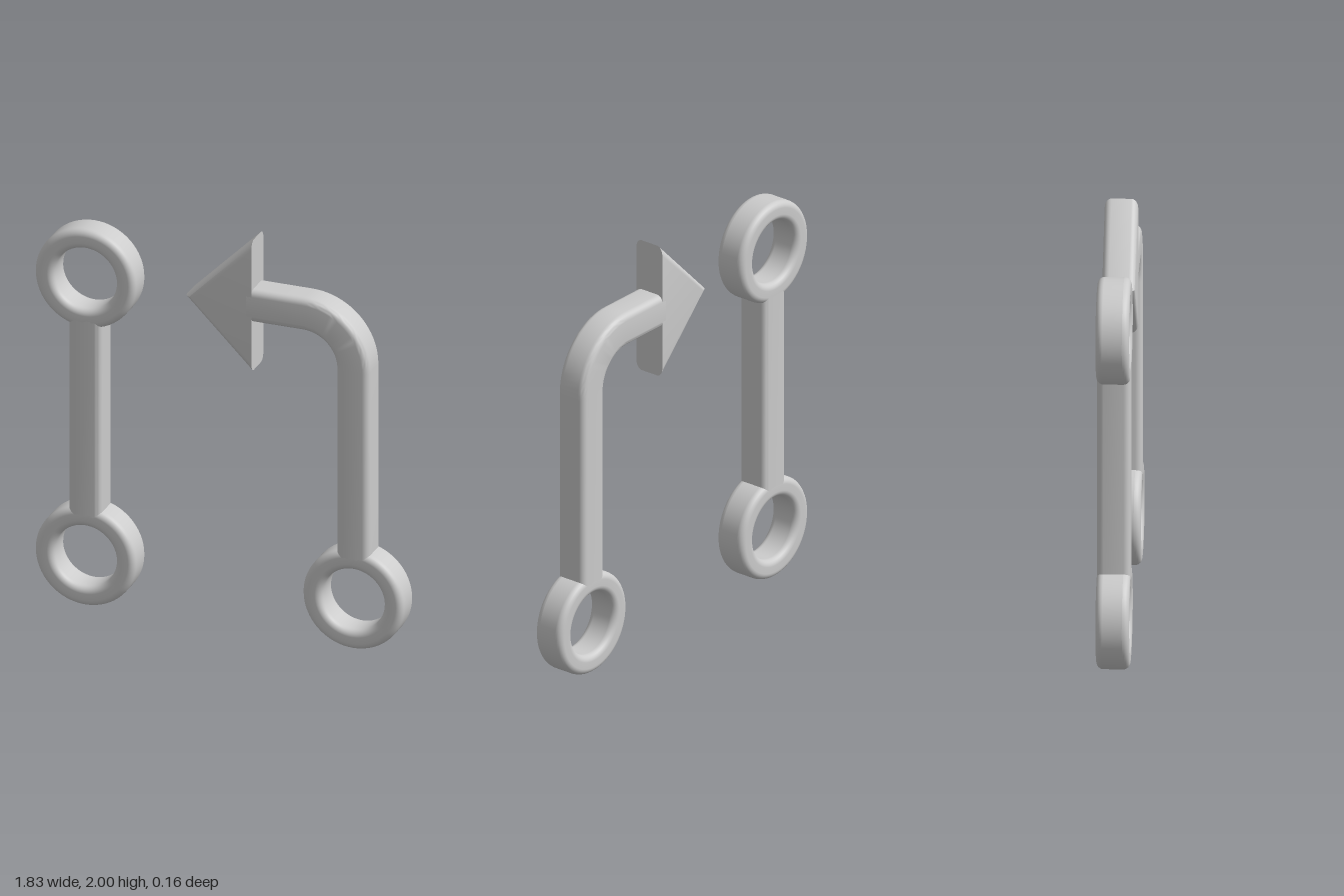
import * as THREE from 'three';
import { toCreasedNormals } from 'three/addons/utils/BufferGeometryUtils.js';

const HALF_DEPTH = 0.078, HALF_BAR = 0.082, ROUND = 0.032, STEPS = 6;
const POST_X = 0.666, LOW_Y = 0.25, HIGH_Y = 1.667, BEND = 0.25;
const material = new THREE.MeshStandardMaterial({ color: 0xcccccc });

// Rounded rectangle outline, counter-clockwise, centred on (cx, 0)
function roundedRect(cx, halfW, halfH, r) {
  const points = [];
  [[1, 1], [-1, 1], [-1, -1], [1, -1]].forEach(([sx, sy], corner) => {
    for (let i = 0; i <= STEPS; i++) {
      const a = (corner + i / STEPS) * Math.PI / 2;
      points.push(new THREE.Vector2(
        cx + sx * (halfW - r) + r * Math.cos(a),
        sy * (halfH - r) + r * Math.sin(a)));
    }
  });
  return points;
}

// Skin a list of equal-sized sections and cap both ends
function loft(sections) {
  const n = sections[0].length, last = sections.length - 1;
  const index = [];
  for (let i = 0; i < last; i++) {
    for (let j = 0; j < n; j++) {
      const a = i * n + j, b = i * n + (j + 1) % n;
      index.push(a, b, b + n, a, b + n, a + n);
    }
  }
  for (let j = 1; j < n - 1; j++) {
    index.push(0, j + 1, j, last * n, last * n + j, last * n + j + 1);
  }
  const geometry = new THREE.BufferGeometry();
  geometry.setAttribute('position', new THREE.Float32BufferAttribute(sections.flat(2), 3));
  geometry.setIndex(index);
  return toCreasedNormals(geometry, 0.6);
}

// Sweep the bar section along stations of x, y and heading angle
function bar(stations) {
  const outline = roundedRect(0, HALF_BAR, HALF_DEPTH, ROUND);
  return loft(stations.map(([x, y, a]) =>
    outline.map(p => [x - Math.sin(a) * p.x, y + Math.cos(a) * p.x, p.y])));
}

// Triangular head pointing to -x: rounded sloping edges, flat sharp back
function arrowhead(tipX, backX, y, halfHeight) {
  const layers = [];
  for (const side of [-1, 1]) {
    for (let i = 0; i <= STEPS; i++) {
      const a = (side < 0 ? 1 - i / STEPS : i / STEPS) * Math.PI / 2;
      const z = side * (HALF_DEPTH - ROUND + ROUND * Math.sin(a));
      const inset = Math.SQRT2 * ROUND * (1 - Math.cos(a));
      const h = halfHeight - inset;
      layers.push([[tipX + inset, y, z], [backX, y - h, z], [backX, y + h, z]]);
    }
  }
  return loft(layers);
}

export function createModel() {
  const model = new THREE.Group();
  const add = (name, geometry, parent) => {
    const mesh = new THREE.Mesh(geometry, material);
    mesh.name = name;
    parent.add(mesh);
    return mesh;
  };

  // Rings share one lathed rounded profile, turned to face the front
  const ringProfile = roundedRect(0.202, 0.048, HALF_DEPTH, ROUND);
  ringProfile.push(ringProfile[0].clone());
  const ringGeometry = new THREE.LatheGeometry(ringProfile, 64).rotateX(Math.PI / 2);
  const ring = (name, x, y, parent) => add(name, ringGeometry, parent).position.set(x, y, 0);

  // Straight link: a bar between two rings
  const link = new THREE.Group();
  link.name = 'straightLink';
  ring('upperRing', -POST_X, HIGH_Y, link);
  ring('lowerRing', -POST_X, LOW_Y, link);
  const up = Math.PI / 2;
  add('linkBar', bar([[-POST_X, LOW_Y + 0.21, up], [-POST_X, HIGH_Y - 0.21, up]]), link);

  // Bent arrow: ring, post curving to the right, and head
  const arrow = new THREE.Group();
  arrow.name = 'bentArrow';
  ring('arrowRing', POST_X, LOW_Y, arrow);
  const stations = [[POST_X, LOW_Y + 0.21, up]];
  for (let i = 0; i <= 20; i++) {
    const a = i / 20 * Math.PI / 2;
    stations.push([
      POST_X - BEND + BEND * Math.cos(a),
      HIGH_Y - BEND + BEND * Math.sin(a),
      up + a]);
  }
  stations.push([0.14, HIGH_Y, Math.PI]);
  add('arrowShaft', bar(stations), arrow);
  add('arrowHead', arrowhead(-0.167, 0.166, HIGH_Y, 0.333), arrow);

  model.add(link, arrow);
  return model;
}
